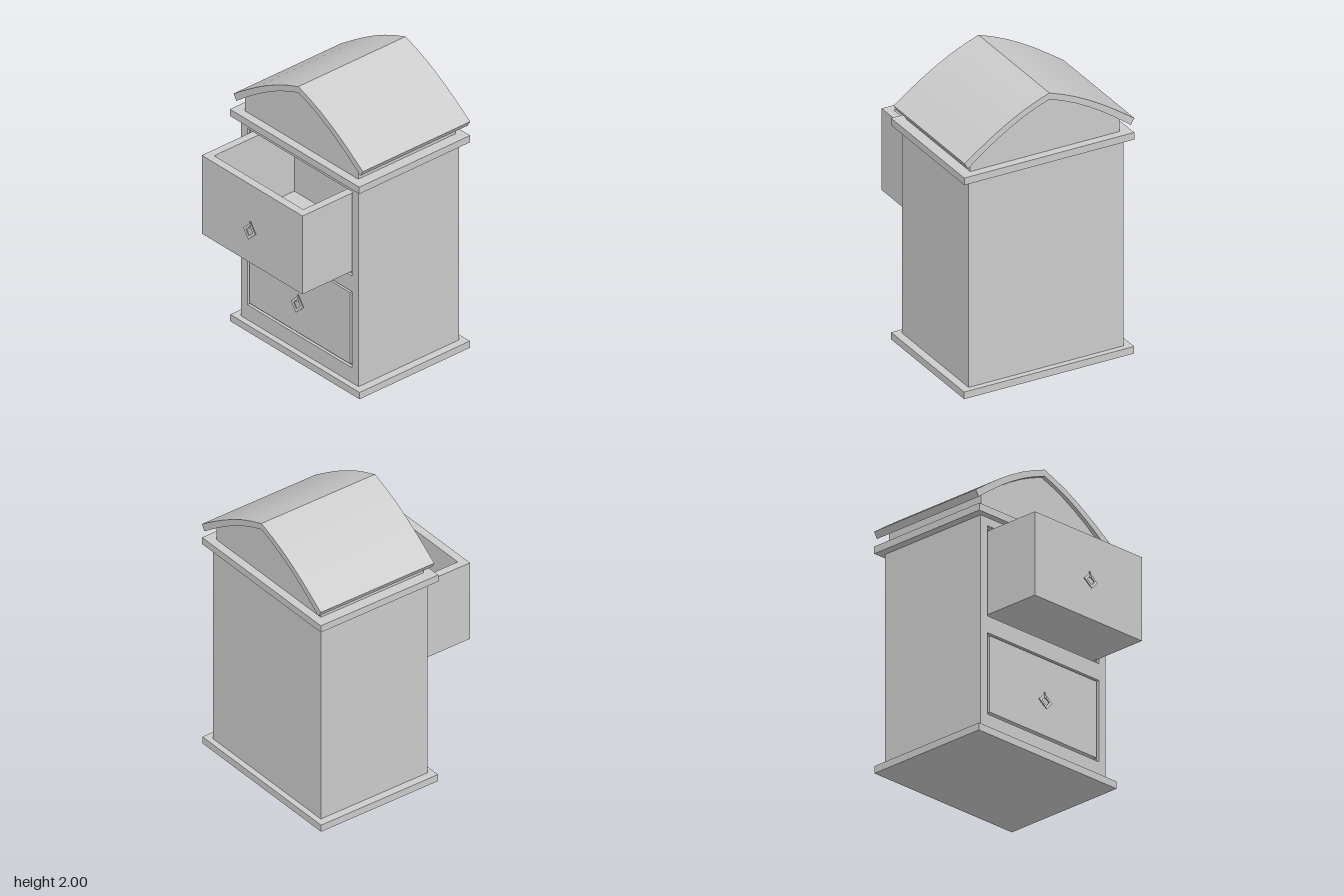
import * as THREE from 'three';
import { toCreasedNormals } from 'three/addons/utils/BufferGeometryUtils.js';

const grey = new THREE.MeshStandardMaterial({ color: 0xcccccc });

function add(parent, name, geometry, x = 0, y = 0, z = 0) {
  const mesh = new THREE.Mesh(geometry, grey);
  mesh.name = name;
  mesh.position.set(x, y, z);
  parent.add(mesh);
  return mesh;
}

// Box given by its min and max on every axis
function block(parent, name, x0, x1, y0, y1, z0, z1) {
  return add(parent, name, new THREE.BoxGeometry(x1 - x0, y1 - y0, z1 - z0),
    (x0 + x1) / 2, (y0 + y1) / 2, (z0 + z1) / 2);
}

const points = list => list.map(([x, y]) => new THREE.Vector2(x, y));
const rect = (w, y0, y1) => points([[-w, y0], [w, y0], [w, y1], [-w, y1]]);

function extrude(shape, depth) {
  return new THREE.ExtrudeGeometry(shape, { depth, bevelEnabled: false });
}

// Front outline of the cabinet with both drawer openings cut out
function cabinetShape(inset) {
  const shape = new THREE.Shape(rect(0.555, 0.05, 1.51));
  for (const [y0, y1] of [[0.16, 0.72], [0.835, 1.455]]) {
    shape.holes.push(new THREE.Path(rect(0.495 - inset, y0 + inset, y1 - inset)));
  }
  return shape;
}

// Round backplate with a hanging diamond pull
function makePull() {
  const pull = new THREE.Group();
  pull.name = 'drawerPull';
  const profile = points([[0, 0.008], [0.03, 0.007], [0.06, 0.004], [0.075, 0]]);
  const plate = add(pull, 'pullBackplate', new THREE.LatheGeometry(profile, 32));
  plate.rotation.x = Math.PI / 2;

  const diamond = r => points([[0, -r], [r, 0], [0, r], [-r, 0]]);
  const ring = new THREE.Shape(diamond(0.058));
  ring.holes.push(new THREE.Path(diamond(0.032)));
  const hanger = new THREE.Group();
  hanger.name = 'pullHanger';
  hanger.position.set(0, 0.02, 0.01);
  hanger.rotation.x = -0.17;
  pull.add(hanger);
  add(hanger, 'diamondRing', extrude(ring, 0.006), 0, -0.056, -0.002);
  block(hanger, 'pullPin', -0.005, 0.005, -0.035, 0.008, 0, 0.008);
  add(hanger, 'pullKnob', new THREE.SphereGeometry(0.008, 12, 8), 0, -0.03, 0.004);
  return pull;
}

// Open-topped drawer, its face at z = 0
function makeDrawer(name, y0, y1, z) {
  const drawer = new THREE.Group();
  drawer.name = name;
  const w = 0.475, t = 0.055, depth = 0.775;
  const plan = new THREE.Shape(rect(w, 0, depth));
  plan.holes.push(new THREE.Path(rect(w - t, t, depth - t)));
  const walls = add(drawer, 'drawerWalls', extrude(plan, y1 - y0), 0, y0, 0);
  walls.rotation.x = -Math.PI / 2;
  block(drawer, 'drawerFloor', -w + t, w - t, y0, y0 + 0.04, t - depth, -t);
  const pull = makePull();
  pull.position.set(0, y0 + 0.285, 0);
  if (y0 < 0.5) pull.position.y = 0.44;
  drawer.add(pull);
  drawer.position.z = z;
  return drawer;
}

// Mirrors the right half of a roof line to the left
const mirrored = half => [...half.slice(1).reverse().map(([x, y]) => [-x, y]), ...half];

export function createModel() {
  const model = new THREE.Group();
  model.name = 'drawerCabinet';

  // Cabinet: stepped openings in front of a closed back
  add(model, 'openingRim', extrude(cabinetShape(0), 0.02), 0, 0, 0.21);
  add(model, 'cabinetBody', extrude(cabinetShape(0.01), 0.775), 0, 0, -0.565);
  block(model, 'backPanel', -0.555, 0.555, 0.05, 1.51, -0.605, -0.565);
  block(model, 'plinth', -0.61, 0.61, 0, 0.05, -0.645, 0.27);
  block(model, 'cornice', -0.61, 0.61, 1.51, 1.56, -0.647, 0.273);

  // Drawers: the upper one pulled out
  model.add(makeDrawer('upperDrawer', 0.855, 1.43, 0.625));
  model.add(makeDrawer('lowerDrawer', 0.18, 0.705, 0.23));

  // Curved gable roof
  const upper = [[0, 2], [0.1, 1.963], [0.2, 1.919], [0.3, 1.866], [0.4, 1.806], [0.5, 1.739], [0.61, 1.662]];
  const lower = [[0, 1.955], [0.09, 1.922], [0.185, 1.88], [0.28, 1.829], [0.375, 1.771], [0.475, 1.702], [0.585, 1.62]];
  const roofShape = new THREE.Shape(points([...mirrored(upper), ...mirrored(lower).reverse()]));
  add(model, 'roof', toCreasedNormals(extrude(roofShape, 0.89), 0.3), 0, 0, -0.648);

  // Gable block filling the space below the roof
  const gable = [...lower.slice(0, 6), [0.535, 1.66], [0.535, 1.56]];
  const gableShape = new THREE.Shape(points(mirrored(gable)));
  add(model, 'gable', extrude(gableShape, 0.805), 0, 0, -0.59);

  return model;
}
